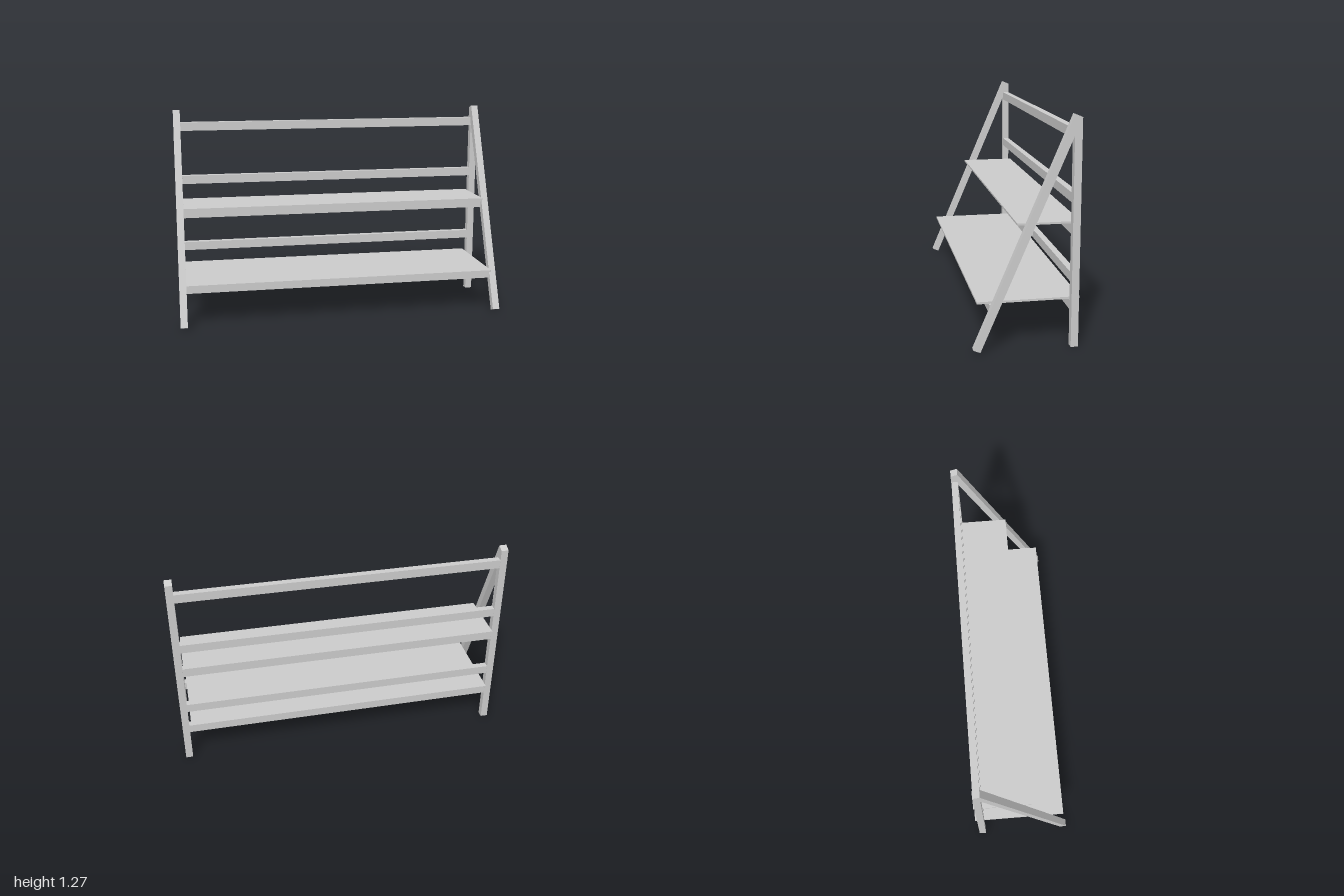
import * as THREE from 'three';

const material = new THREE.MeshStandardMaterial({ color: 0xcccccc, flatShading: true });

export function createModel() {
  const group = new THREE.Group();

  // Box given by its [min, max] range on each axis
  function addBox(name, [x0, x1], [y0, y1], [z0, z1]) {
    const mesh = new THREE.Mesh(new THREE.BoxGeometry(x1 - x0, y1 - y0, z1 - z0), material);
    mesh.position.set((x0 + x1) / 2, (y0 + y1) / 2, (z0 + z1) / 2);
    mesh.name = name;
    group.add(mesh);
  }

  // Side frames: an upright rear post and a slanted front leg; corners are (z, y)
  const thickness = 0.043;
  const profiles = {
    RearPost: [[-0.276, 0], [-0.235, 0], [-0.235, 1.157], [-0.276, 1.25]],
    FrontLeg: [[0.26, 0.003], [0.298, 0.018], [-0.235, 1.267], [-0.276, 1.25]],
  };
  for (const [side, x] of [['left', 1 - thickness], ['right', -1]]) {
    for (const [part, corners] of Object.entries(profiles)) {
      // Shape x becomes -z after the quarter turn, so z is negated here
      const shape = new THREE.Shape(corners.map(([z, y]) => new THREE.Vector2(-z, y)));
      const geometry = new THREE.ExtrudeGeometry(shape, { depth: thickness, bevelEnabled: false });
      geometry.rotateY(Math.PI / 2);
      const mesh = new THREE.Mesh(geometry, material);
      mesh.position.x = x;
      mesh.name = side + part;
      group.add(mesh);
    }
  }

  // Rear rails between the posts, including the two that carry the shelves
  const span = [-0.957, 0.957];
  for (const y of [0.2, 0.36, 0.625, 0.795, 1.135]) {
    addBox('rearRail', span, [y, y + 0.053], [-0.275, -0.236]);
  }

  // Front rails under the shelves
  addBox('lowerFrontRail', span, [0.2, 0.253], [0.164, 0.204]);
  addBox('upperFrontRail', span, [0.625, 0.678], [-0.03, 0.01]);

  // Shelf boards
  addBox('lowerShelf', [-0.957, 0.945], [0.256, 0.268], [-0.295, 0.27]);
  addBox('upperShelf', [-0.957, 0.952], [0.68, 0.691], [-0.29, 0.054]);

  return group;
}
